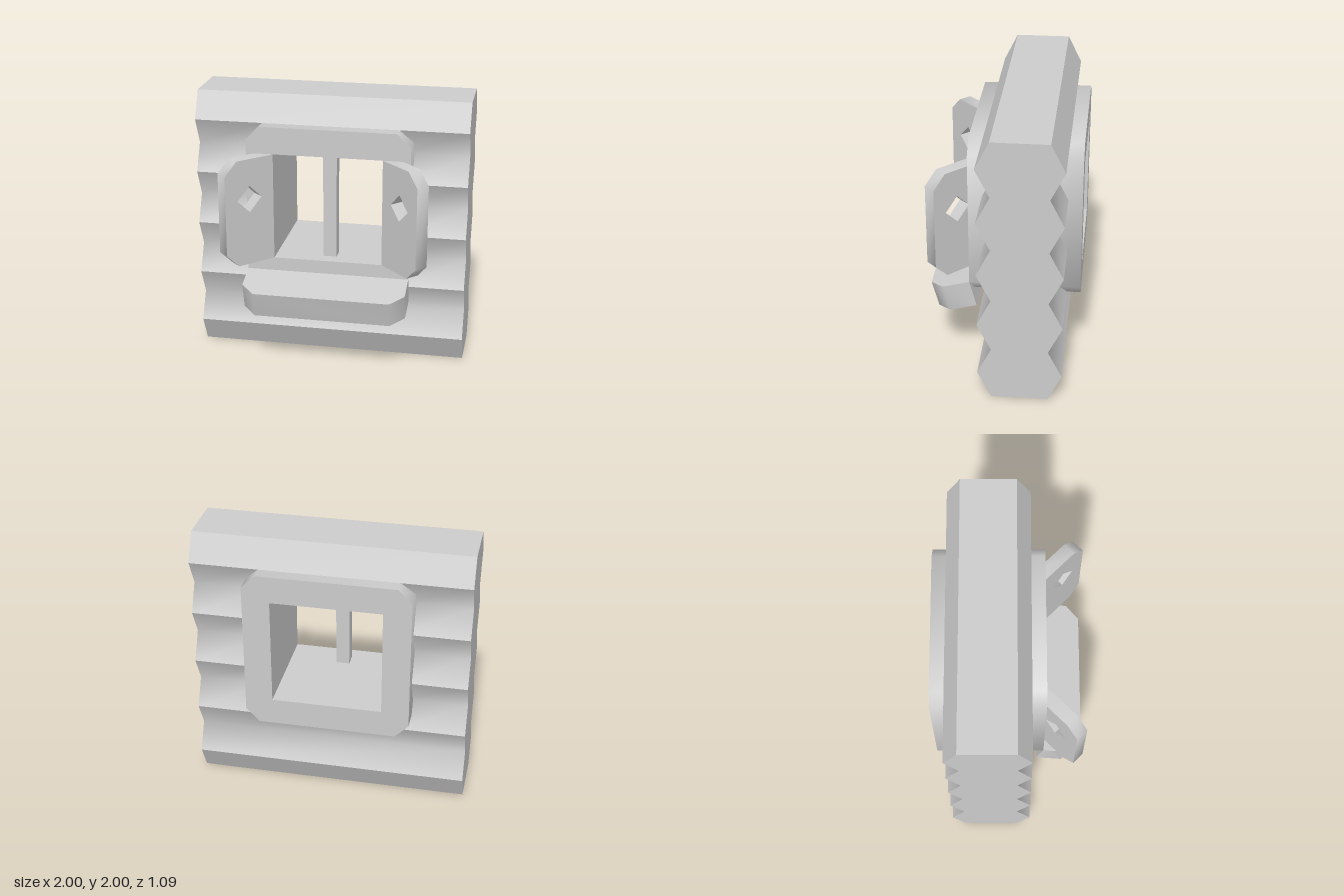
import * as THREE from 'three';
import { mergeGeometries, toCreasedNormals } from 'three/addons/utils/BufferGeometryUtils.js';

const material = new THREE.MeshStandardMaterial({ color: 0xcccccc });
const WALL_Z = -0.145, FRONT_Z = 0.255;

const shapeOf = (points) => new THREE.Shape(points.map(([x, y]) => new THREE.Vector2(x, y)));

function addMesh(parent, name, geometry) {
  const mesh = new THREE.Mesh(geometry, material);
  mesh.name = name;
  parent.add(mesh);
  return mesh;
}

// Flat plate with optional hole; 45 degree corners stay smooth, square ones sharp
function plate(outline, depth, hole) {
  const shape = shapeOf(outline);
  if (hole) shape.holes.push(shapeOf(hole));
  const geometry = new THREE.ExtrudeGeometry(shape, { depth, bevelEnabled: false });
  return toCreasedNormals(geometry, THREE.MathUtils.degToRad(50));
}

// Log profile: ridges at 0.2, 0.6, 1.0 ... and valleys at 0, 0.4, 0.8 ...
const logDepth = (y) => (Math.round(y / 0.2) % 2 ? 0.3 : 0.2);

// Horizontal band of wall surface between two heights
function band(x0, x1, y0, y1) {
  const g = new THREE.PlaneGeometry(x1 - x0, y1 - y0, 1, Math.round((y1 - y0) / 0.2));
  g.translate((x0 + x1) / 2, (y0 + y1) / 2, 0);
  const p = g.attributes.position;
  for (let i = 0; i < p.count; i++) p.setZ(i, logDepth(p.getY(i)));
  g.computeVertexNormals();
  return g;
}

function wallGeometry() {
  const half = [band(-1, 1, 0, 0.2), band(-1, 1, 0.2, 0.6), band(-1, 1, 1.8, 2)];
  // bands beside the window
  for (const y of [0.6, 1.0, 1.4]) {
    half.push(band(-1, -0.5, y, y + 0.4), band(0.5, 1, y, y + 0.4));
  }
  // zigzag end
  const end = [];
  for (let i = 0; i <= 10; i++) end.push([logDepth(i * 0.2), i * 0.2]);
  for (let i = 10; i >= 0; i--) end.push([-logDepth(i * 0.2), i * 0.2]);
  half.push(new THREE.ShapeGeometry(shapeOf(end)).rotateY(-Math.PI / 2).translate(-1, 0, 0));
  const front = mergeGeometries(half);
  const back = front.clone().rotateY(Math.PI);
  const top = new THREE.PlaneGeometry(2, 0.4).rotateX(-Math.PI / 2).translate(0, 2, 0);
  const bottom = new THREE.PlaneGeometry(2, 0.4).rotateX(Math.PI / 2);
  return mergeGeometries([front, back, top, bottom]);
}

export function createModel() {
  const model = new THREE.Group();
  model.name = 'logWallWindow';

  addMesh(model, 'logWall', wallGeometry()).position.z = WALL_Z;

  // Window frame passing through the wall
  const frame = plate(
    [[-0.5, 0.6], [0.5, 0.6], [0.6, 0.7], [0.6, 1.7], [0.5, 1.8], [-0.5, 1.8], [-0.6, 1.7], [-0.6, 0.7]],
    0.8,
    [[-0.4, 0.8], [-0.4, 1.6], [0.4, 1.6], [0.4, 0.8]],
  );
  addMesh(model, 'windowFrame', frame).position.z = FRONT_Z - 0.8;

  // Upright bar in the opening
  addMesh(model, 'windowBar', new THREE.BoxGeometry(0.1, 0.8, 0.1)).position.set(0, 1.2, 0.105);

  // Open shutters with diamond cut-outs
  const shutter = plate(
    [[0, 0.8], [0.3, 0.8], [0.4, 0.9], [0.4, 1.5], [0.3, 1.6], [0, 1.6]],
    0.1,
    [[0.1, 1.3], [0.2, 1.4], [0.3, 1.3], [0.2, 1.2]],
  );
  const left = addMesh(model, 'leftShutter', shutter.clone().translate(0, 0, -0.1));
  left.position.set(0.4, 0, FRONT_Z);
  left.rotation.y = -Math.PI / 4;
  const right = addMesh(model, 'rightShutter', shutter);
  right.position.set(-0.4, 0, FRONT_Z);
  right.rotation.y = -3 * Math.PI / 4;

  // Sill tilted 15 degrees downwards
  const sill = plate([[-0.6, 0], [0.6, 0], [0.6, 0.2], [0.5, 0.3], [-0.5, 0.3], [-0.6, 0.2]], 0.2);
  const sillMesh = addMesh(model, 'windowSill', sill);
  sillMesh.position.set(0, 0.7, FRONT_Z);
  sillMesh.rotation.x = THREE.MathUtils.degToRad(105);

  return model;
}
